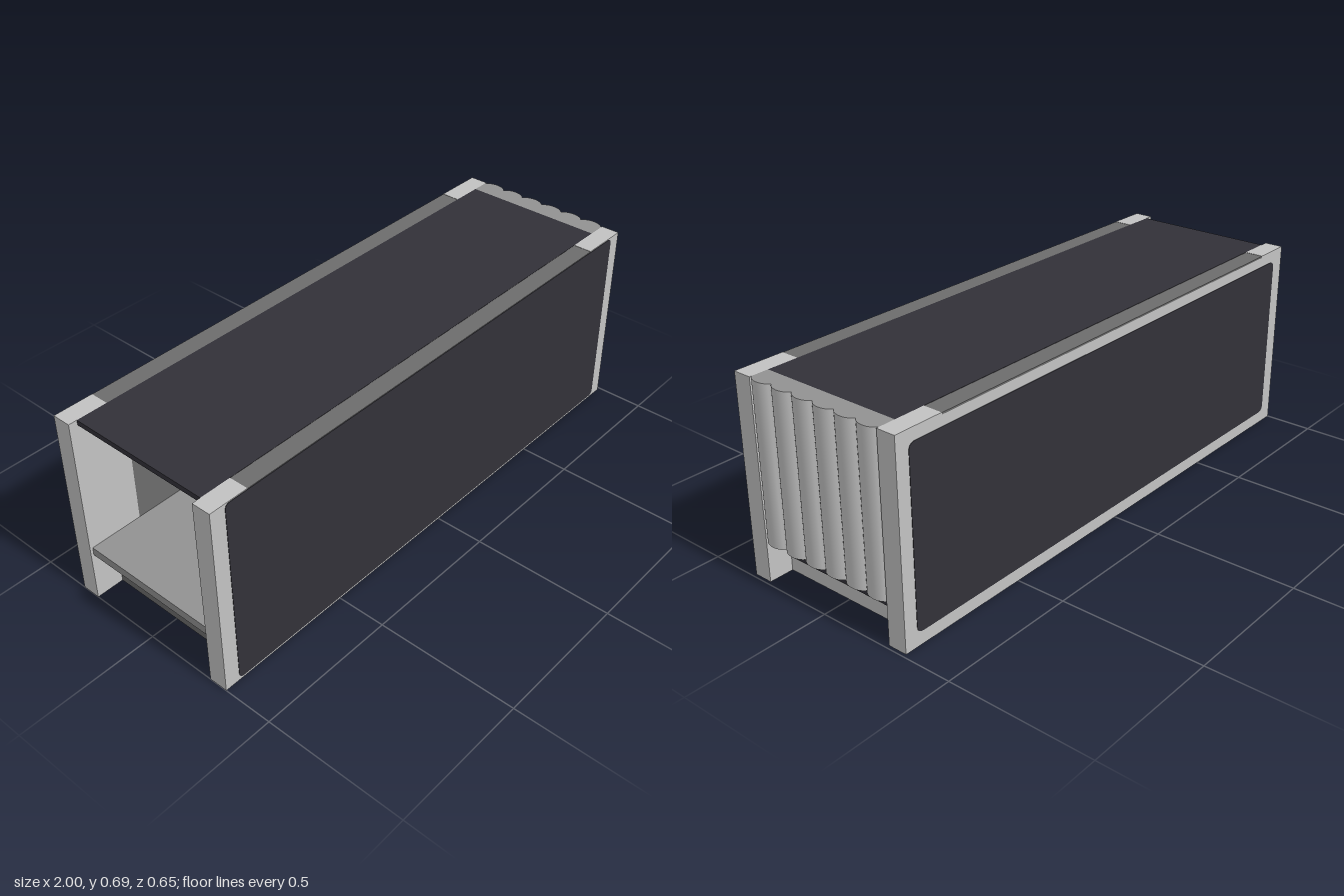
import * as THREE from 'three';
import { toCreasedNormals } from 'three/addons/utils/BufferGeometryUtils.js';

const material = (name, color) => {
  const m = new THREE.MeshStandardMaterial({ color });
  m.name = name;
  return m;
};

export function createModel() {
  const model = new THREE.Group();
  model.name = 'slattedBench';
  const gray = material('light gray', 0xc2c2c2);
  const shelfGray = material('shelf gray', 0x929292);
  const midGray = material('mid gray', 0x6c6c6c);
  const dark = material('charcoal', 0x323138);

  // Box given by its limits on each axis
  const box = (name, mat, [x0, x1], [y0, y1], [z0, z1], parent = model) => {
    const mesh = new THREE.Mesh(new THREE.BoxGeometry(x1 - x0, y1 - y0, Math.abs(z1 - z0)), mat);
    mesh.position.set((x0 + x1) / 2, (y0 + y1) / 2, (z0 + z1) / 2);
    mesh.name = name;
    parent.add(mesh);
    return mesh;
  };

  // Thin inlaid panel with softened corners, facing +z
  const inlay = (name, x0, x1, y0, y1, r) => {
    const s = new THREE.Shape();
    s.moveTo(x0 + r, y0);
    s.lineTo(x1 - r, y0);
    s.quadraticCurveTo(x1, y0, x1, y0 + r);
    s.lineTo(x1, y1 - r);
    s.quadraticCurveTo(x1, y1, x1 - r, y1);
    s.lineTo(x0 + r, y1);
    s.quadraticCurveTo(x0, y1, x0, y1 - r);
    s.lineTo(x0, y0 + r);
    s.quadraticCurveTo(x0, y0, x0 + r, y0);
    const mesh = new THREE.Mesh(
      new THREE.ExtrudeGeometry(s, { depth: 0.002, bevelEnabled: false, curveSegments: 5 }), dark);
    mesh.name = name;
    model.add(mesh);
    return mesh;
  };

  // Long side walls: end posts, hollow middle with outer skin and inner lining, top rail
  for (const side of [1, -1]) {
    const wall = new THREE.Group();
    wall.name = side > 0 ? 'frontWall' : 'backWall';
    const depth = (a, b) => [a * side, b * side];
    box('rightPost', gray, [-1, -0.86], [0, 0.69], depth(0.258, 0.325), wall);
    box('rightPostRib', gray, [-0.86, -0.8], [0, 0.683], depth(0.258, 0.325), wall);
    box('leftPost', gray, [0.81, 0.988], [0, 0.69], depth(0.258, 0.325), wall);
    box('outerSkin', gray, [-0.8, 0.81], [0, 0.683], depth(0.308, 0.325), wall);
    box('skinBacking', midGray, [-0.8, 0.81], [0.002, 0.683], depth(0.302, 0.308), wall);
    box('innerLining', midGray, [-0.8, 0.81], [0.175, 0.683], depth(0.258, 0.266), wall);
    box('topRail', midGray, [-0.86, 0.81], [0.683, 0.689], depth(0.258, 0.325), wall);
    model.add(wall);
  }

  // Dark panels on the outer faces
  inlay('frontPanel', -0.945, 0.94, 0.008, 0.687, 0.02).position.z = 0.3245;
  const back = inlay('backPanel', -0.94, 0.945, 0.045, 0.648, 0.025);
  back.rotation.y = Math.PI;
  back.position.z = -0.3245;

  // Lid
  box('lid', dark, [-0.97, 0.92], [0.672, 0.69], [-0.258, 0.258]);

  // Fluted end screen: six shallow rounded slats in plan, extruded upwards
  const slats = 6, half = 0.258, step = (2 * half) / slats;
  const plan = new THREE.Shape();
  plan.moveTo(0.92, -half);
  plan.lineTo(0.98, -half);
  for (let i = 0; i < slats; i++) {
    const y = -half + i * step;
    plan.bezierCurveTo(1.002, y + step * 0.15, 1.008, y + step * 0.75, 0.98, y + step);
  }
  plan.lineTo(0.92, half);
  plan.closePath();
  const flutes = new THREE.ExtrudeGeometry(plan, { depth: 0.545, bevelEnabled: false, curveSegments: 10 });
  flutes.rotateX(-Math.PI / 2);
  const screen = new THREE.Mesh(toCreasedNormals(flutes, 0.6), [shelfGray, gray]);
  screen.position.y = 0.145;
  screen.name = 'flutedScreen';
  model.add(screen);

  // Inner shelf, end plate below it and support rail
  box('shelf', shelfGray, [-0.99, 0.92], [0.175, 0.205], [-0.258, 0.258]);
  box('endPlate', midGray, [-0.9, -0.885], [0, 0.175], [-0.258, 0.258]);
  box('shelfRail', shelfGray, [-0.72, 0.65], [0.15, 0.175], [0.01, 0.04]);
  for (const x of [0.2, 0.32])
    box('undersidePlate', gray, [x, x + 0.1], [0.171, 0.175], [0.05, 0.11]);

  // Low threshold at the screen end
  box('threshold', gray, [0.885, 0.9], [0, 0.06], [-0.258, 0.258]);
  box('thresholdBoard', dark, [0.8, 0.91], [0.058, 0.076], [-0.256, 0.256]);

  // Small catch under the screen
  box('catch', gray, [0.92, 0.95], [0.11, 0.146], [0.128, 0.172]);
  box('catchSlot', dark, [0.948, 0.952], [0.11, 0.145], [0.144, 0.158]);

  return model;
}
